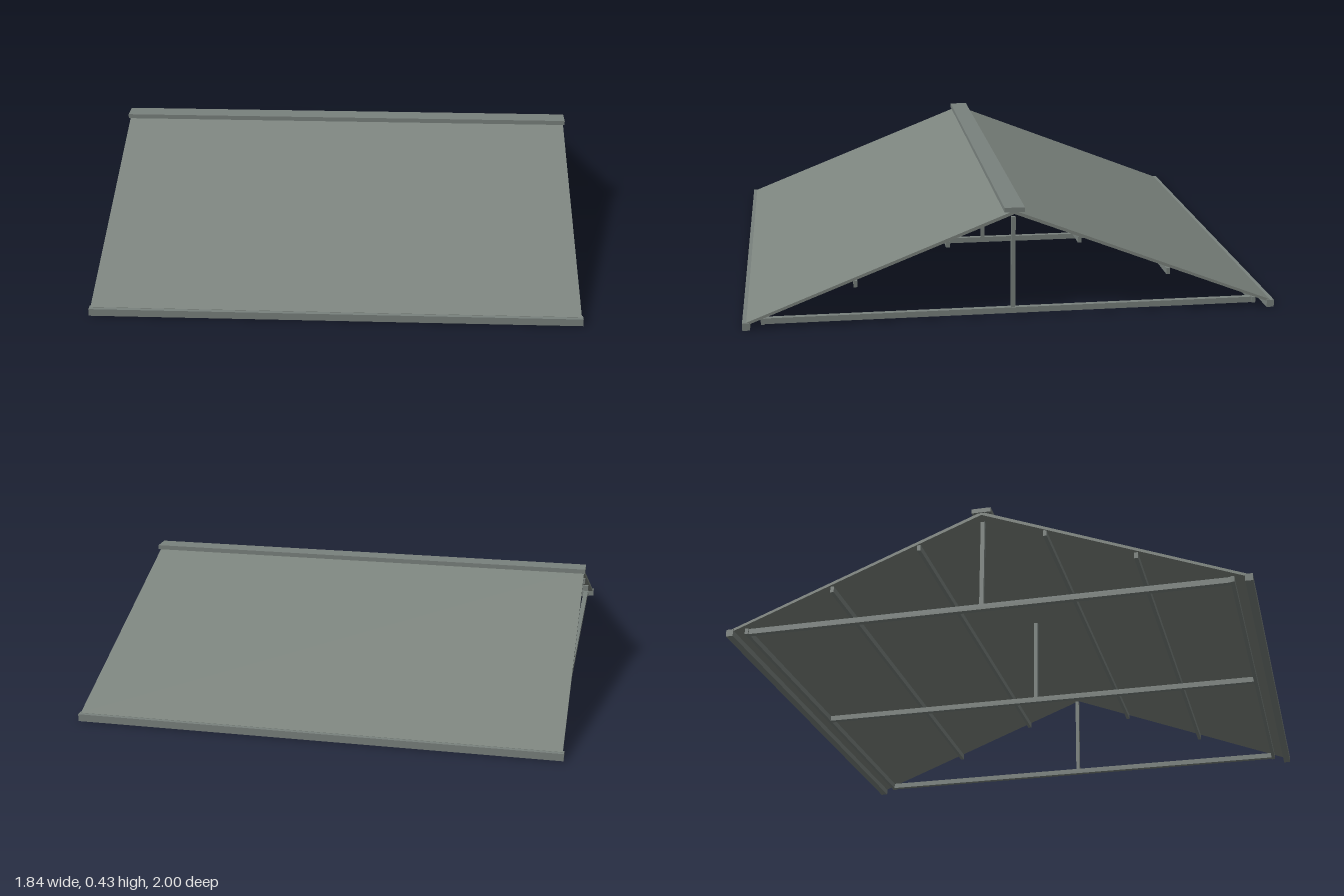
import * as THREE from 'three';

const roofGrey = new THREE.MeshStandardMaterial({ color: 0x7c847e });
roofGrey.name = 'roofGrey';
const steelGrey = new THREE.MeshStandardMaterial({ color: 0x79817d });
steelGrey.name = 'steelGrey';

export function createModel() {
  const model = new THREE.Group();
  model.name = 'gableRoof';

  // Box given by its size and centre
  const box = (name, w, h, d, x, y, z, material = steelGrey) => {
    const mesh = new THREE.Mesh(new THREE.BoxGeometry(w, h, d), material);
    mesh.position.set(x, y, z);
    mesh.name = name;
    model.add(mesh);
  };

  // Two thin sloping roof sheets, extruded along x as one chevron profile
  const profile = new THREE.Shape([
    [0.985, 0.018], [0.985, 0.029], [0, 0.417], [-0.985, 0.029],
    [-0.985, 0.018], [0, 0.404],
  ].map(([z, y]) => new THREE.Vector2(z, y)));
  const sheet = new THREE.ExtrudeGeometry(profile, { depth: 1.83, bevelEnabled: false });
  sheet.translate(0, 0, -0.915).rotateY(Math.PI / 2);
  const roof = new THREE.Mesh(sheet, roofGrey);
  roof.name = 'roofSheets';
  model.add(roof);

  // Flat cap along the ridge
  box('ridgeCap', 1.84, 0.018, 0.075, 0, 0.421, 0);

  for (const s of [1, -1]) {
    // Eave trim, wall plate and two purlins on each slope
    box('eaveTrim', 1.84, 0.028, 0.028, 0, 0.014, s * 0.986);
    box('wallPlate', 1.8, 0.023, 0.014, 0, 0.024, s * 0.926);
    box('lowerPurlin', 1.82, 0.024, 0.014, 0, 0.158, s * 0.585);
    box('upperPurlin', 1.82, 0.024, 0.014, 0, 0.296, s * 0.245);
  }

  // Three trusses: tie beam and king post
  for (const x of [-0.885, 0, 0.885]) {
    box('tieBeam', 0.02, 0.022, 1.866, x, 0.024, 0);
    box('kingPost', 0.016, 0.352, 0.016, x, 0.21, 0);
  }
  return model;
}
